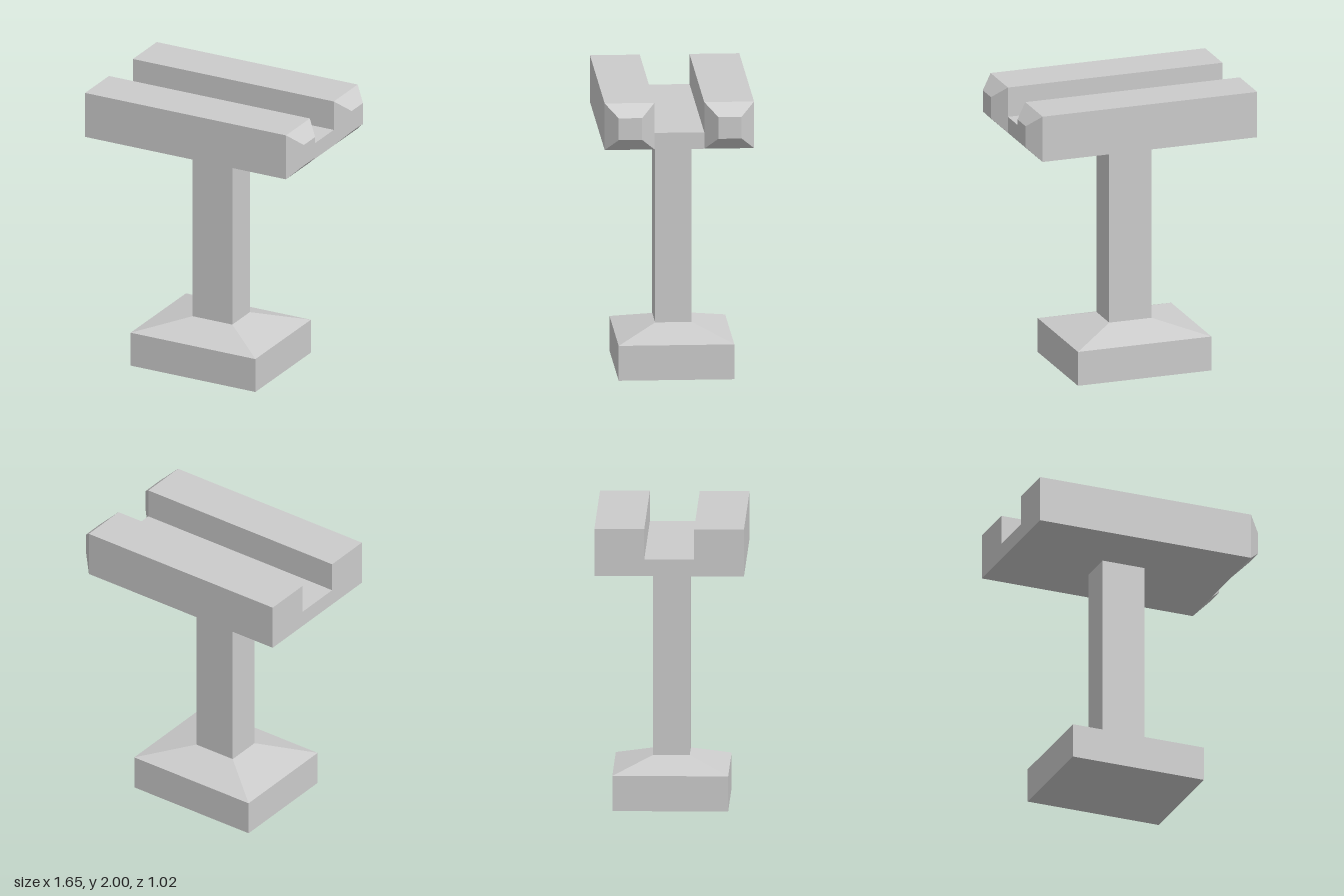
import * as THREE from 'three';
import { mergeGeometries } from 'three/addons/utils/BufferGeometryUtils.js';

const material = new THREE.MeshStandardMaterial({ color: 0xcccccc, flatShading: true });

// Skins a list of point rings, counter-clockwise as seen from the last ring
function loft(rings, { closed = true, capStart = false, capEnd = false } = {}) {
  const pos = [];
  const quad = (a, b, c, d) => pos.push(...a, ...b, ...c, ...a, ...c, ...d);
  for (let i = 0; i < rings.length - 1; i++) {
    const r = rings[i], s = rings[i + 1], n = r.length;
    for (let j = 0; j < (closed ? n : n - 1); j++) {
      const k = (j + 1) % n;
      quad(r[j], r[k], s[k], s[j]);
    }
  }
  if (capStart) quad(...[...rings[0]].reverse());
  if (capEnd) quad(...rings[rings.length - 1]);
  const g = new THREE.BufferGeometry();
  g.setAttribute('position', new THREE.Float32BufferAttribute(pos, 3));
  g.computeVertexNormals();
  return g;
}

// Rectangular rings: level in y, or upright in x
const levelRing = (y, x0, x1, z) => [[x0, y, z], [x1, y, z], [x1, y, -z], [x0, y, -z]];
const uprightRing = (x, y0, y1, z0, z1) => [[x, y0, z1], [x, y0, z0], [x, y1, z0], [x, y1, z1]];

export function createModel() {
  const group = new THREE.Group();
  const add = (name, geometry) => {
    const mesh = new THREE.Mesh(geometry, material);
    mesh.name = name;
    group.add(mesh);
  };

  const back = -0.825, front = 0.735, tip = 0.825;
  const under = 1.675, floor = 1.79, top = 2;
  const inner = 0.17, outer = 0.51;
  const post = (y) => levelRing(y, -0.2, 0.108, 0.125);
  const foot = (y) => levelRing(y, -0.535, 0.435, 0.395);

  // Foot block with sloped shoulders
  add('base', loft([foot(0), foot(0.243), post(0.333)], { capStart: true }));

  // Square column
  add('post', loft([post(0.333), post(1.65)]));

  // Shallow flare under the table
  add('tableUnderside', loft([post(1.65), levelRing(under, back, front, outer)]));

  // Channelled table: U profile in (z, y) run along x, with its end faces
  const profile = [
    [-outer, under], [-outer, top], [-inner, top], [-inner, floor],
    [inner, floor], [inner, top], [outer, top], [outer, under],
  ];
  const walls = loft([back, front].map((x) => profile.map(([z, y]) => [x, y, z])), { closed: false });
  const backFace = new THREE.ShapeGeometry(new THREE.Shape(profile.map((p) => new THREE.Vector2(...p))))
    .rotateY(-Math.PI / 2).translate(back, 0, 0).toNonIndexed();
  const frontFace = new THREE.PlaneGeometry(2 * inner, floor - under)
    .rotateY(Math.PI / 2).translate(front, (floor + under) / 2, 0).toNonIndexed();
  for (const g of [backFace, frontFace]) g.deleteAttribute('uv');
  add('channelTable', mergeGeometries([walls, backFace, frontFace]));

  // Bevelled noses on the two rails
  for (const [name, mid] of [['frontRailNose', 0.34], ['backRailNose', -0.34]]) {
    add(name, loft([
      uprightRing(front, under, top, mid - 0.17, mid + 0.17),
      uprightRing(tip, 1.762, 1.914, mid - 0.08, mid + 0.08),
    ], { capEnd: true }));
  }
  return group;
}
